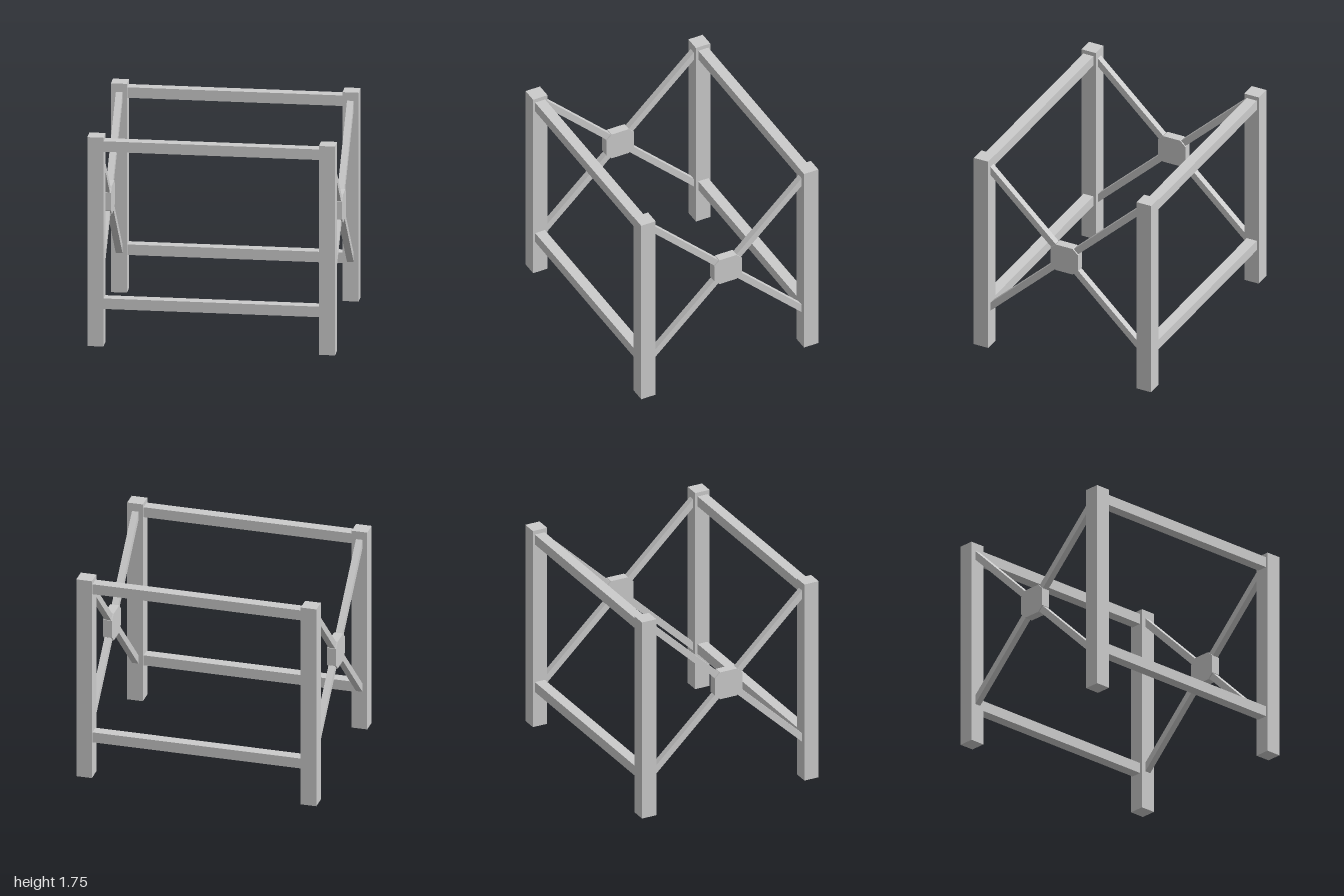
import * as THREE from 'three';

const material = new THREE.MeshStandardMaterial({ color: 0xcccccc, flatShading: true });

export function createModel() {
  const group = new THREE.Group();
  group.name = 'tableFrame';

  const add = (name, geometry, x, y, z) => {
    const mesh = new THREE.Mesh(geometry, material);
    mesh.name = name;
    mesh.position.set(x, y, z);
    group.add(mesh);
  };

  // Plate outlined in (z, y), with its thickness centred along x
  const sidePlate = (points, thickness) => {
    const shape = new THREE.Shape(points.map(([z, y]) => new THREE.Vector2(z, y)));
    return new THREE.ExtrudeGeometry(shape, { depth: thickness, bevelEnabled: false })
      .translate(0, 0, -thickness / 2)
      .rotateY(-Math.PI / 2);
  };

  const postX = 0.935, postZ = 0.735, sideX = 0.933, hubY = 1.005;
  const sideName = { 1: 'left', '-1': 'right' };
  const endName = { 1: 'Front', '-1': 'Back' };

  const post = new THREE.BoxGeometry(0.13, 1.75, 0.13);
  const rail = new THREE.BoxGeometry(1.74, 0.088, 0.09);

  // Chamfered block where the braces meet
  const hub = sidePlate([
    [0.077, -0.12], [0.124, -0.075], [0.124, 0.075], [0.077, 0.12],
    [-0.077, 0.12], [-0.124, 0.075], [-0.124, -0.075], [-0.077, -0.12],
  ], 0.075);

  // Diagonal brace cut vertically against the post
  const brace = (endZ, dirY) => {
    const slope = 0.952, half = 0.0375, near = 0.08, far = 0.67;
    const yNear = dirY * near * slope, yFar = dirY * far * slope;
    return sidePlate([
      [endZ * near, yNear - half], [endZ * far, yFar - half],
      [endZ * far, yFar + half], [endZ * near, yNear + half],
    ], 0.054);
  };

  for (const end of [1, -1]) {
    // Long rails joining the posts across the width
    add(`upper${endName[end]}Rail`, rail, 0, 1.671, end * 0.737);
    add(`lower${endName[end]}Rail`, rail, 0, 0.354, end * 0.737);

    for (const side of [1, -1]) {
      add(`${sideName[side]}${endName[end]}Post`, post, side * postX, 0.875, end * postZ);
      add(`${sideName[side]}${endName[end]}UpperBrace`, brace(end, 1), side * sideX, hubY, 0);
      add(`${sideName[side]}${endName[end]}LowerBrace`, brace(end, -1), side * sideX, hubY, 0);
    }
  }

  for (const side of [1, -1]) add(`${sideName[side]}BraceHub`, hub, side * sideX, hubY, 0);

  return group;
}
